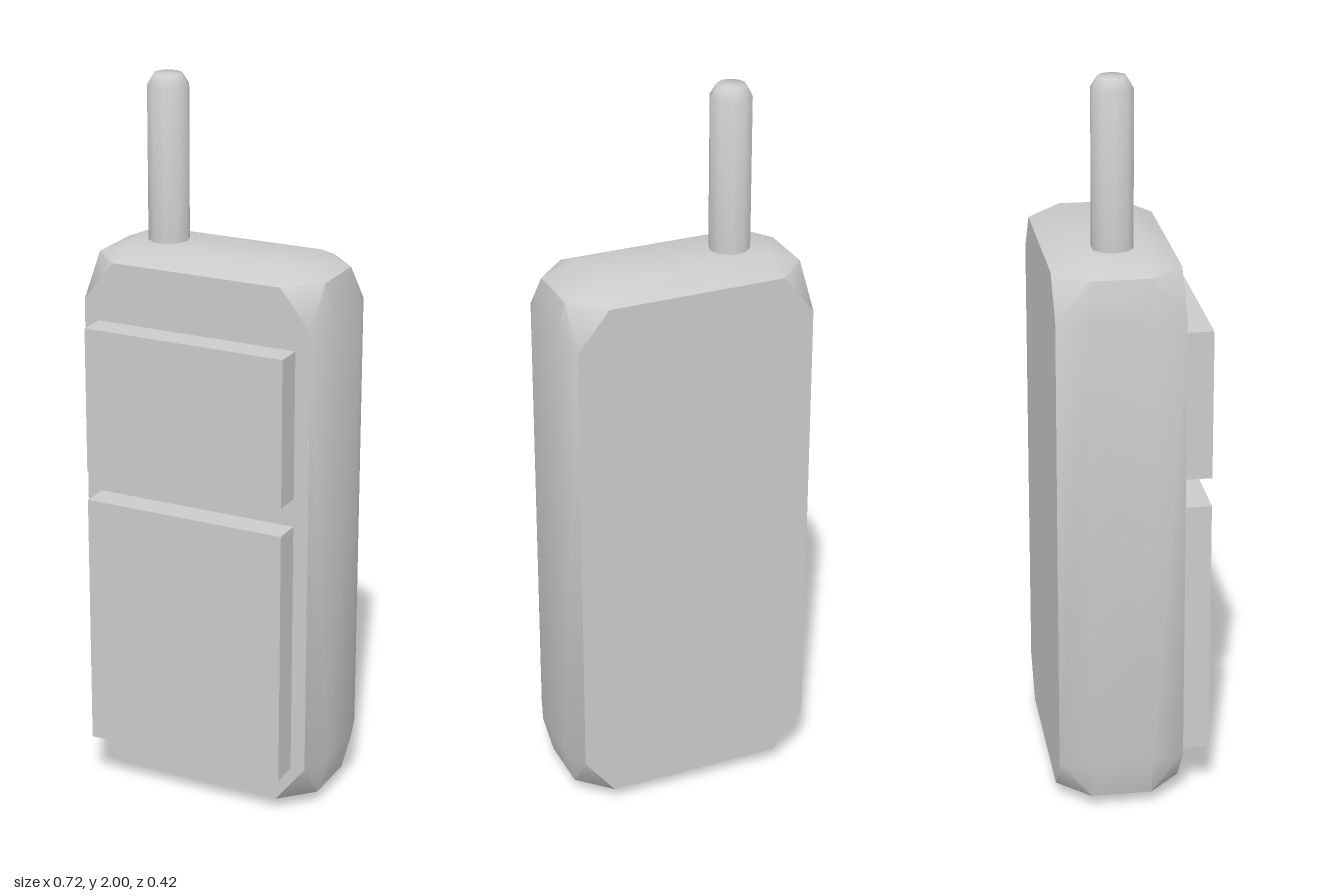
import * as THREE from 'three';
import { toCreasedNormals } from 'three/addons/utils/BufferGeometryUtils.js';
import { ConvexGeometry } from 'three/addons/geometries/ConvexGeometry.js';

const material = new THREE.MeshStandardMaterial({ color: 0xcccccc });

function add(group, name, geometry, x, y, z) {
  const mesh = new THREE.Mesh(geometry, material);
  mesh.name = name;
  mesh.position.set(x, y, z);
  group.add(mesh);
  return mesh;
}

// Block with cut corners and slightly raised sides, top and bottom:
// five points of one corner, mirrored into all eight.
function bodyGeometry() {
  const corner = [
    [0.245, 0.74, 0.17], [0.332, 0.63, 0.17], [0.332, 0.74, 0.083], // corner cut
    [0.245, 0.775, 0.087], // raised top
    [0.361, 0.63, 0.083], // raised side
  ];
  const points = [];
  for (const sx of [-1, 1]) for (const sy of [-1, 1]) for (const sz of [-1, 1]) {
    for (const [x, y, z] of corner) points.push(new THREE.Vector3(x * sx, y * sy, z * sz));
  }
  return toCreasedNormals(new ConvexGeometry(points), 0.7);
}

export function createModel() {
  const group = new THREE.Group();
  group.name = 'handheldRadio';

  add(group, 'body', bodyGeometry(), 0, 0.775, -0.04);

  // Raised front panels
  add(group, 'screenPanel', new THREE.BoxGeometry(0.58, 0.41, 0.09), 0, 1.145, 0.163);
  add(group, 'keypadPanel', new THREE.BoxGeometry(0.58, 0.72, 0.09), 0, 0.5, 0.163);

  // Ten-sided antenna with a blunted tip
  const profile = [[0, 1.5], [0.056, 1.5], [0.056, 1.97], [0.038, 2], [0, 2]]
    .map(([r, y]) => new THREE.Vector2(r, y));
  const antenna = toCreasedNormals(new THREE.LatheGeometry(profile, 10), 1.1);
  add(group, 'antenna', antenna, -0.165, 0, -0.04).rotation.y = Math.PI / 2;

  return group;
}
